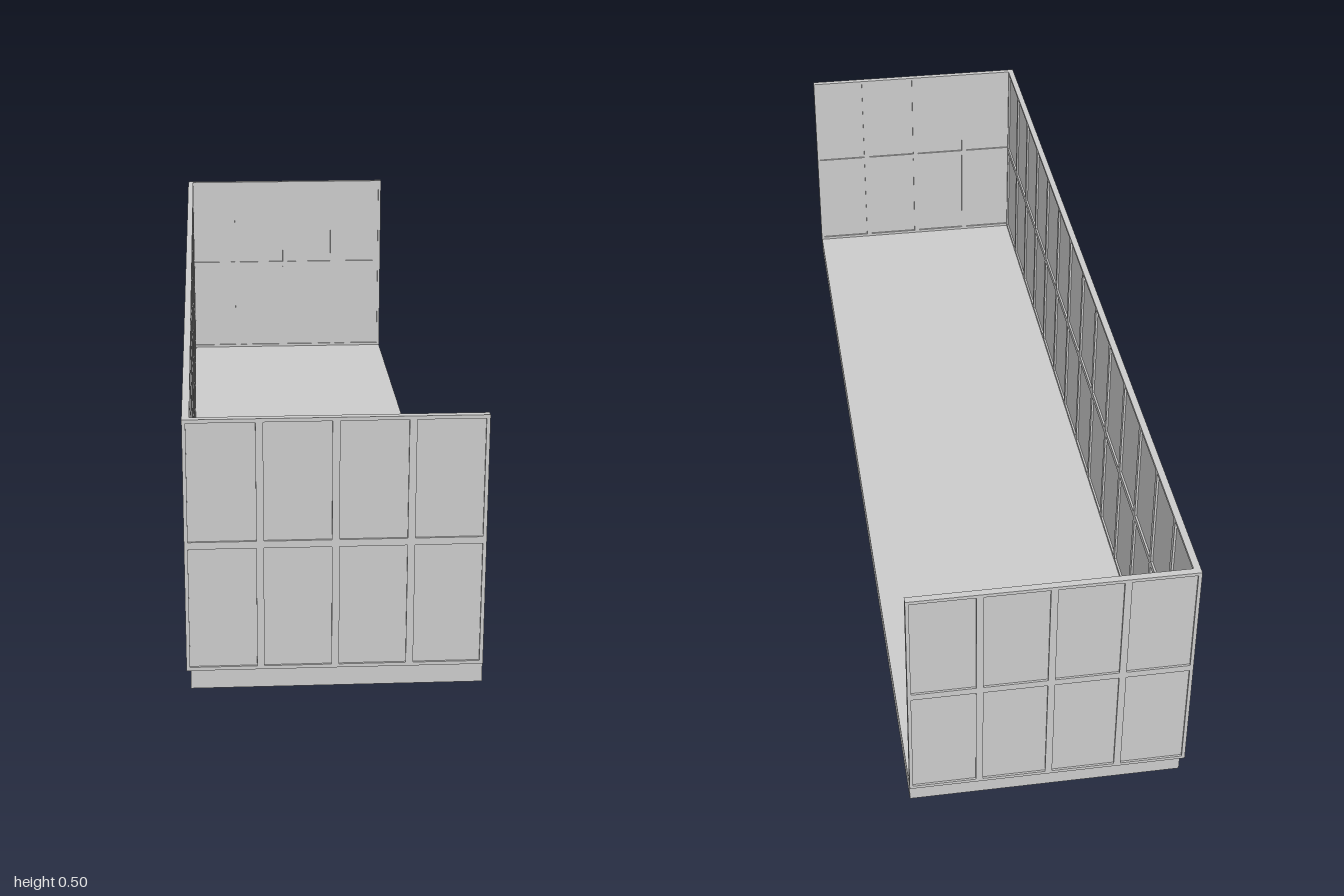
import * as THREE from 'three';

const BOTTOM = 0.035, MIDDLE = 0.271, TOP = 0.5; // heights of the two window rows
const THICK = 0.013, BORDER = 0.0065, PANE = 0.005;

const material = new THREE.MeshStandardMaterial({ color: 0xcccccc });

function rectangle(ShapeType, x0, y0, x1, y1) {
  const s = new ShapeType();
  s.moveTo(x0, y0);
  s.lineTo(x1, y0);
  s.lineTo(x1, y1);
  s.lineTo(x0, y1);
  s.closePath();
  return s;
}

// A framed wall of two rows of panes, centred on its own x and z
function gridWall(name, length, columns) {
  const wall = new THREE.Group();
  wall.name = name;
  const outline = rectangle(THREE.Shape, -length / 2, BOTTOM, length / 2, TOP);
  const pitch = length / columns;
  for (let i = 0; i < columns; i++) {
    const x = -length / 2 + i * pitch;
    for (const [y0, y1] of [[BOTTOM, MIDDLE], [MIDDLE, TOP]]) {
      outline.holes.push(rectangle(THREE.Path, x + BORDER, y0 + BORDER, x + pitch - BORDER, y1 - BORDER));
      const pane = new THREE.Mesh(
        new THREE.BoxGeometry(pitch - 2 * BORDER, y1 - y0 - 2 * BORDER, PANE), material);
      pane.name = 'pane';
      pane.position.set(x + pitch / 2, (y0 + y1) / 2, 0);
      wall.add(pane);
    }
  }
  const geometry = new THREE.ExtrudeGeometry(outline, { depth: THICK, bevelEnabled: false });
  geometry.translate(0, 0, -THICK / 2);
  const frame = new THREE.Mesh(geometry, material);
  frame.name = 'frame';
  wall.add(frame);
  return wall;
}

export function createModel() {
  const model = new THREE.Group();
  model.name = 'balconyEnclosure';

  // Floor slab, slightly inset under the long wall and the back wall
  const floor = new THREE.Mesh(new THREE.BoxGeometry(0.515, BOTTOM, 1.99), material);
  floor.name = 'floorSlab';
  floor.position.set(0.0035, BOTTOM / 2, 0.003);
  model.add(floor);

  // Short walls at both ends
  for (const [name, side] of [['frontWall', 1], ['backWall', -1]]) {
    const wall = gridWall(name, 0.523, 4);
    wall.position.z = side * (1 - THICK / 2);
    model.add(wall);
  }

  // Long wall between them; the opposite side stays open
  const longWall = gridWall('longWall', 2 - 2 * THICK, 14);
  longWall.rotation.y = Math.PI / 2;
  longWall.position.x = -0.2615 + THICK / 2;
  model.add(longWall);

  return model;
}
